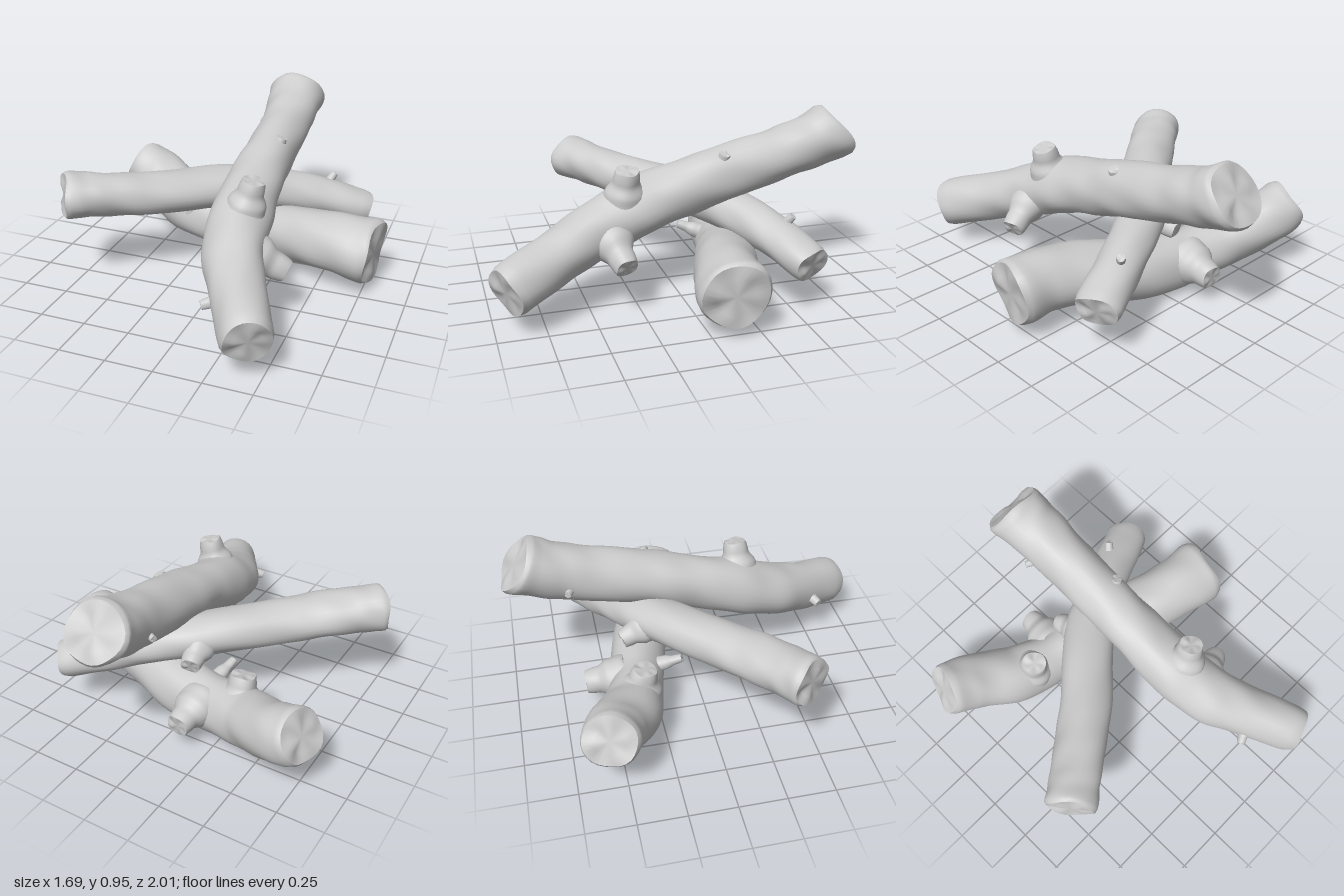
import * as THREE from 'three';

const material = new THREE.MeshStandardMaterial({ color: 0xcccccc });
const SIDES = 28;

// Wavy bark: low swells plus shallow lengthwise ridges
const bark = (a, s, seed) =>
  0.03 * Math.sin(2 * a + 5 * s + seed) +
  0.02 * Math.sin(3 * a - 9 * s + seed * 2.3) +
  0.012 * Math.sin(5 * a + 17 * s + seed * 1.7) +
  0.01 * Math.sin(a + 29 * s + seed);

// Limb through stations [x, y, z, radius]; flat sets the height/width ratio
function limb(name, stations, { rings = 48, seed = 1, flat = 1, tiltStart = 0, tiltEnd = 0 } = {}) {
  const curve = new THREE.CatmullRomCurve3(stations.map(p => new THREE.Vector3(p[0], p[1], p[2])));
  const span = stations.length - 1;
  const length = curve.getLength();
  const dir = curve.getPoint(1).sub(curve.getPoint(0)).normalize();
  const ref = Math.abs(dir.y) > 0.8 ? new THREE.Vector3(1, 0, 0) : new THREE.Vector3(0, 1, 0);
  const pos = [], index = [];

  // One cross-section; returns its centre, tangent and points
  function section(t) {
    const c = curve.getPoint(t), T = curve.getTangent(t);
    const S = T.clone().cross(ref).normalize(), U = S.clone().cross(T);
    const k = Math.min(Math.floor(t * span), span - 1);
    const f = THREE.MathUtils.smoothstep(t * span - k, 0, 1);
    let r = THREE.MathUtils.lerp(stations[k][3], stations[k + 1][3], f);
    const edge = Math.min(t, 1 - t) * length;
    r *= 1 - 0.09 * Math.exp(-edge * 60);
    const tilt = tiltStart * Math.max(0, 1 - t * 6) + tiltEnd * Math.max(0, 1 - (1 - t) * 6);
    const points = [];
    for (let j = 0; j < SIDES; j++) {
      const a = j / SIDES * Math.PI * 2;
      const q = r * (1 + bark(a, t * length, seed));
      points.push(c.clone().addScaledVector(S, q * Math.cos(a))
        .addScaledVector(U, q * flat * Math.sin(a))
        .addScaledVector(T, q * Math.sin(a) * tilt + 0.06 * r * Math.sin(3 * a + seed) * Math.exp(-edge * 40)));
    }
    return { c, T, points };
  }

  // Bark surface
  for (let i = 0; i <= rings; i++) section(i / rings).points.forEach(p => pos.push(p.x, p.y, p.z));
  for (let i = 0; i < rings; i++) for (let j = 0; j < SIDES; j++) {
    const a = i * SIDES + j, b = i * SIDES + (j + 1) % SIDES;
    index.push(a, a + SIDES, b, b, a + SIDES, b + SIDES);
  }

  // Rough cut faces, with their own rim so the edge stays sharp
  for (const end of [0, 1]) {
    const { c, T, points } = section(end);
    const start = pos.length / 3, out = end ? 1 : -1;
    points.forEach(p => pos.push(p.x, p.y, p.z));
    points.forEach((p, j) => {
      const bump = stations[end * span][3] * 0.06 * Math.sin(j * 0.9 + seed) * out;
      const m = c.clone().lerp(p, 0.6).addScaledVector(T, bump);
      pos.push(m.x, m.y, m.z);
    });
    pos.push(c.x, c.y, c.z);
    for (let j = 0; j < SIDES; j++) {
      const n = (j + 1) % SIDES;
      const o0 = start + j, o1 = start + n, m0 = o0 + SIDES, m1 = o1 + SIDES, mid = start + 2 * SIDES;
      if (end) index.push(o0, m0, o1, o1, m0, m1, mid, m1, m0);
      else index.push(o0, o1, m0, o1, m1, m0, mid, m0, m1);
    }
  }
  const geo = new THREE.BufferGeometry();
  geo.setAttribute('position', new THREE.Float32BufferAttribute(pos, 3));
  geo.setIndex(index);
  geo.computeVertexNormals();
  const mesh = new THREE.Mesh(geo, material);
  mesh.name = name;
  return mesh;
}

// Cut branch that flares where it leaves the log
function stub(name, from, to, r, seed) {
  const at = (t, k) => [0, 1, 2].map(i => from[i] + (to[i] - from[i]) * t).concat(r * k);
  return limb(name, [at(0, 1.9), at(0.4, 1.6), at(0.72, 1.08), at(1, 1)], { rings: 14, seed });
}

function log(name, stations, options, stubs) {
  const group = new THREE.Group();
  group.name = name;
  group.add(limb('trunk', stations, options));
  stubs.forEach(([part, from, to, r], i) => group.add(stub(part, from, to, r, i + 2)));
  return group;
}

export function createModel() {
  const model = new THREE.Group();
  model.name = 'logPile';

  // Log leaning on the other two, running back to front
  model.add(log('topLog', [
    [0.12, 0.81, -0.92, 0.165], [0.13, 0.75, -0.76, 0.15], [0.14, 0.69, -0.55, 0.142],
    [0.145, 0.62, -0.25, 0.143], [0.15, 0.55, 0, 0.146], [0.165, 0.475, 0.25, 0.158],
    [0.21, 0.38, 0.48, 0.15], [0.31, 0.3, 0.69, 0.138], [0.45, 0.22, 0.94, 0.135],
  ], { rings: 70, seed: 1, tiltStart: 0.25 }, [
    ['upperBranchStub', [0.19, 0.5, 0.29], [0.245, 0.71, 0.285], 0.065],
    ['sideBranchStub', [0.22, 0.4, 0.4], [0.44, 0.27, 0.34], 0.065],
    ['frontTwig', [0.27, 0.29, 0.72], [0.16, 0.26, 0.78], 0.025],
    ['backTwig', [0.08, 0.68, -0.62], [-0.03, 0.68, -0.67], 0.018],
    ['knot', [0.18, 0.63, -0.22], [0.23, 0.75, -0.24], 0.03],
  ]));

  // Slim log crossing in the middle
  model.add(log('middleLog', [
    [-0.77, 0.52, 0.41, 0.142], [-0.62, 0.505, 0.3, 0.135], [-0.37, 0.475, 0.11, 0.135],
    [0, 0.44, -0.22, 0.135], [0.32, 0.37, -0.41, 0.122], [0.65, 0.26, -0.56, 0.118],
  ], { rings: 64, seed: 4, flat: 0.86 }, [
    ['backBranchStub', [-0.02, 0.43, -0.24], [-0.06, 0.37, -0.41], 0.055],
    ['backTwig', [0.4, 0.35, -0.46], [0.46, 0.46, -0.53], 0.022],
  ]));

  // Thick bent log resting on the ground
  model.add(log('bottomLog', [
    [-0.78, 0.345, -0.58, 0.145], [-0.62, 0.27, -0.53, 0.15], [-0.42, 0.18, -0.42, 0.158],
    [-0.18, 0.145, -0.36, 0.15], [0.08, 0.155, -0.31, 0.155], [0.35, 0.2, -0.21, 0.162],
    [0.6, 0.23, -0.13, 0.165], [0.8, 0.215, -0.1, 0.182],
  ], { rings: 64, seed: 7 }, [
    ['upperBranchStub', [-0.33, 0.18, -0.38], [-0.33, 0.37, -0.33], 0.07],
    ['backBranchStub', [-0.13, 0.18, -0.4], [-0.11, 0.15, -0.62], 0.068],
    ['leftTwig', [-0.58, 0.22, -0.48], [-0.64, 0.12, -0.45], 0.026],
    ['rightTwig', [0.57, 0.16, -0.14], [0.6, 0.05, -0.12], 0.024],
    ['frontTwig', [-0.1, 0.19, -0.25], [-0.14, 0.25, -0.1], 0.025],
  ]));

  return model;
}
